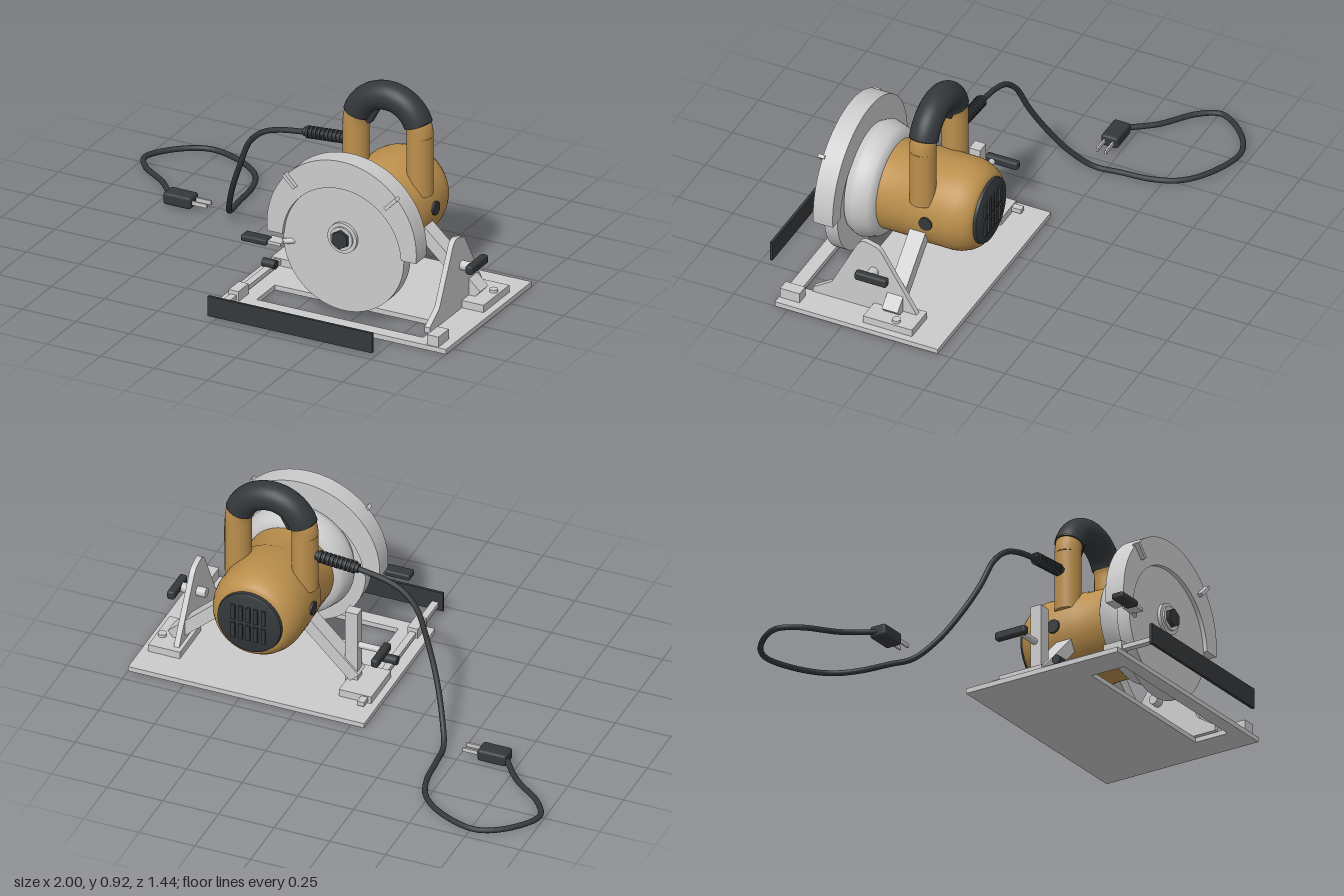
import * as THREE from 'three';
import { toCreasedNormals } from 'three/addons/utils/BufferGeometryUtils.js';
import { RoundedBoxGeometry } from 'three/addons/geometries/RoundedBoxGeometry.js';

const metal = new THREE.MeshStandardMaterial({ color: 0xcccccc });
const brown = new THREE.MeshStandardMaterial({ color: 0xbb8f4c });
const black = new THREE.MeshStandardMaterial({ color: 0x34383b });
const CX = 0.465, CY = 0.375; // motor axis

export function createModel() {
  const model = new THREE.Group();

  const add = (name, geo, mat, x = 0, y = 0, z = 0) => {
    const mesh = new THREE.Mesh(geo, mat);
    mesh.name = name;
    mesh.position.set(x, y, z);
    model.add(mesh);
    return mesh;
  };
  // Box given by its extents on each axis
  const box = (name, mat, [x0, x1], [y0, y1], [z0, z1], round = 0) => {
    const s = [x1 - x0, y1 - y0, z1 - z0];
    const geo = round ? new RoundedBoxGeometry(...s, 2, round) : new THREE.BoxGeometry(...s);
    return add(name, geo, mat, (x0 + x1) / 2, (y0 + y1) / 2, (z0 + z1) / 2);
  };
  // Cylinder between two points
  const rod = (name, mat, a, b, r, sides = 20) => {
    const p = new THREE.Vector3(...a), q = new THREE.Vector3(...b);
    const dir = q.clone().sub(p);
    const mesh = add(name, new THREE.CylinderGeometry(r, r, dir.length(), sides), mat);
    mesh.position.copy(p).lerp(q, 0.5);
    mesh.quaternion.setFromUnitVectors(new THREE.Vector3(0, 1, 0), dir.normalize());
    return mesh;
  };
  // Turned part on the motor axis, profile as [radius, z] from back to front
  const turned = (name, mat, profile) => {
    const geo = new THREE.LatheGeometry(profile.map(([r, z]) => new THREE.Vector2(r, z)), 64);
    geo.rotateX(Math.PI / 2);
    return add(name, toCreasedNormals(geo, 0.6), mat, CX, CY, 0);
  };
  const extrude = (shape, depth) => toCreasedNormals(
    new THREE.ExtrudeGeometry(shape, { depth, bevelEnabled: false, curveSegments: 40 }), 0.5);

  // Base plate with blade slot
  const plate = new THREE.Shape();
  plate.moveTo(-0.06, -0.56).lineTo(1, -0.56).lineTo(1, 0.19).lineTo(-0.06, 0.19).closePath();
  const slot = new THREE.Path();
  slot.moveTo(0.08, -0.5).lineTo(0.08, -0.34).lineTo(0.86, -0.34).lineTo(0.86, -0.5).closePath();
  plate.holes.push(slot);
  add('basePlate', extrude(plate, 0.022).rotateX(-Math.PI / 2), metal);

  // Motor
  turned('motorHousing', brown, [[0, -0.16], [0.15, -0.16], [0.165, -0.15], [0.182, -0.125],
    [0.195, -0.09], [0.2, -0.06], [0.2, 0.12], [0.195, 0.13], [0.195, 0.29], [0, 0.29]]);
  turned('gearHousing', metal, [[0, 0.26], [0.198, 0.262], [0.222, 0.272], [0.235, 0.285],
    [0.246, 0.32], [0.253, 0.348], [0.25, 0.36], [0.235, 0.39], [0, 0.39]]);
  turned('motorCap', black, [[0, -0.178], [0.13, -0.178], [0.142, -0.172], [0.148, -0.15], [0, -0.15]]);
  for (let i = -2; i <= 2; i++) for (const s of [-1, 1]) {
    const x = CX + i * 0.034, y = CY + s * 0.045;
    box('ventRib', black, [x - 0.009, x + 0.009], [y - 0.036, y + 0.036], [-0.186, -0.17]);
  }
  for (const s of [-1, 1])
    rod('brushCap', black, [CX + s * 0.18, CY, 0.03], [CX + s * 0.208, CY, 0.03], 0.03);

  // Upper guard, a thick crescent around the lower guard disc
  const crescent = new THREE.Shape();
  crescent.absarc(0, 0, 0.35, -0.1145, Math.PI + 0.1145, false);
  crescent.absarc(0, -0.053, 0.278, Math.PI - 0.047, 0.047, true);
  crescent.closePath();
  add('upperGuard', extrude(crescent, 0.09), metal, CX, CY, 0.385);
  rod('lowerGuard', metal, [CX, 0.322, 0.397], [CX, 0.322, 0.457], 0.282, 72);
  for (const s of [-1, 1]) {
    const rib = add('guardRib', new THREE.BoxGeometry(0.075, 0.016, 0.03), metal,
      CX + s * 0.238, CY + 0.215, 0.48);
    rib.rotation.z = s * 0.8;
  }

  // Blade bolt
  rod('boltFlange', metal, [CX, CY, 0.45], [CX, CY, 0.472], 0.068, 32);
  rod('boltWasher', metal, [CX, CY, 0.46], [CX, CY, 0.48], 0.052, 32);
  rod('hexBolt', black, [CX, CY, 0.47], [CX, CY, 0.497], 0.041, 6);

  // Arched handle with a grip sleeve
  const arc = (a0, a1) => {
    const pts = [];
    for (let i = 0; i <= 24; i++) {
      const a = a0 + (a1 - a0) * i / 24;
      pts.push(new THREE.Vector3(CX + 0.15 * Math.cos(a), 0.71 + 0.15 * Math.sin(a), 0.068));
    }
    return new THREE.CatmullRomCurve3(pts);
  };
  for (const s of [-1, 1]) {
    const x = CX + s * 0.15;
    rod('handleLeg', brown, [x, 0.45, 0.068], [x, 0.712, 0.068], 0.056, 32);
  }
  add('handleArch', new THREE.TubeGeometry(arc(0, Math.PI), 40, 0.056, 32), brown);
  const g0 = 0.35, g1 = Math.PI - 0.35;
  add('grip', new THREE.TubeGeometry(arc(g0, g1), 40, 0.062, 32), black);
  for (const a of [g0, g1]) {
    const end = add('gripEnd', new THREE.CylinderGeometry(0.062, 0.062, 0.004, 32), black,
      CX + 0.15 * Math.cos(a), 0.71 + 0.15 * Math.sin(a), 0.068);
    end.rotation.z = a;
  }
  const trigger = add('trigger', new RoundedBoxGeometry(0.03, 0.075, 0.04, 2, 0.008), black, 0.392, 0.757, 0.068);
  trigger.rotation.z = -0.5;

  // Cord strain relief with rings
  rod('cordSleeve', black, [0.07, 0.607, 0.062], [0.28, 0.622, 0.066], 0.02);
  for (let i = 0; i < 9; i++) {
    const x = 0.085 + i * 0.019, y = 0.608 + i * 0.0014;
    rod('sleeveRing', black, [x, y, 0.062], [x + 0.011, y + 0.001, 0.062], 0.027);
  }

  // Power cord
  const path = [[0.09, 0.607, 0.062], [-0.05, 0.585, 0.058], [-0.13, 0.555, 0.052], [-0.2, 0.49, 0.038],
    [-0.26, 0.36, 0.01], [-0.32, 0.23, -0.04], [-0.38, 0.1, -0.12], [-0.425, 0.022, -0.21],
    [-0.44, 0.018, -0.32], [-0.455, 0.018, -0.46], [-0.5, 0.018, -0.57], [-0.61, 0.018, -0.66],
    [-0.78, 0.018, -0.71], [-0.9, 0.018, -0.65], [-0.987, 0.018, -0.52], [-0.94, 0.02, -0.43],
    [-0.8, 0.025, -0.32], [-0.7, 0.033, -0.2]].map(p => new THREE.Vector3(...p));
  add('powerCord', new THREE.TubeGeometry(new THREE.CatmullRomCurve3(path), 160, 0.012, 12), black);

  // Plug
  box('plug', black, [-0.715, -0.585], [0.008, 0.062], [-0.237, -0.16], 0.012);
  for (const z of [-0.217, -0.178])
    box('plugPin', metal, [-0.59, -0.515], [0.027, 0.045], [z - 0.004, z + 0.004]);

  // Rip fence and its rod
  box('ripFence', black, [-0.035, 0.735], [0.01, 0.1], [0.702, 0.714]);
  box('fenceRod', metal, [-0.015, 0.015], [0.03, 0.05], [-0.088, 0.705]);
  box('rodClamp', metal, [-0.022, 0.024], [0.02, 0.068], [0.465, 0.555]);
  box('rodStop', metal, [0.908, 0.962], [0.02, 0.068], [0.465, 0.555]);
  rod('rodKnob', black, [-0.03, 0.06, 0.235], [0.03, 0.06, 0.235], 0.02);

  // Lower guard lever
  box('leverGrip', black, [0.02, 0.14], [0.29, 0.317], [0.475, 0.532], 0.008);
  box('leverArm', metal, [0.13, 0.2], [0.296, 0.31], [0.46, 0.515]);
  rod('leverLink', metal, [0.19, 0.303, 0.48], [0.24, 0.303, 0.44], 0.012);

  // Bracket feet and diagonal struts to the motor
  box('leftFoot', metal, [-0.03, 0.115], [0.02, 0.055], [-0.045, 0.165]);
  box('rightFoot', metal, [0.825, 0.967], [0.02, 0.055], [-0.055, 0.17]);
  const strut = (name, x0, y0, x1, y1) => {
    const m = add(name, new THREE.BoxGeometry(Math.hypot(x1 - x0, y1 - y0), 0.055, 0.073), metal,
      (x0 + x1) / 2, (y0 + y1) / 2, 0.072);
    m.rotation.z = Math.atan2(y1 - y0, x1 - x0);
  };
  strut('rightStrut', 0.63, 0.305, 0.9, 0.06);
  strut('leftStrut', 0.08, 0.07, 0.3, 0.29);
  rod('footBolt', metal, [0.94, 0.05, 0.03], [0.94, 0.068, 0.03], 0.018);

  // Left depth post and clamp
  box('depthPost', metal, [0.07, 0.127], [0.04, 0.385], [0.045, 0.095]);
  rod('leftClampRod', metal, [-0.04, 0.222, 0.065], [0.08, 0.222, 0.065], 0.014);
  box('leftClampHandle', black, [-0.06, -0.027], [0.207, 0.245], [-0.05, 0.1], 0.01);

  // Right tilt quadrant, a rounded triangular plate (drawn with z mirrored)
  const quad = new THREE.Shape();
  quad.moveTo(-0.45, 0.02).lineTo(-0.45, 0.045).lineTo(-0.365, 0.1);
  quad.lineTo(-0.25, 0.325).quadraticCurveTo(-0.23, 0.362, -0.2, 0.353);
  quad.lineTo(-0.16, 0.342).quadraticCurveTo(-0.145, 0.335, -0.13, 0.31);
  quad.lineTo(0.03, 0.05).lineTo(0.03, 0.02).closePath();
  add('tiltQuadrant', extrude(quad, 0.024).rotateY(Math.PI / 2), metal, 0.841, 0, 0);
  rod('rightClampRod', metal, [0.8, 0.217, 0.17], [0.92, 0.217, 0.17], 0.021);
  box('rightClampHandle', black, [0.908, 0.942], [0.205, 0.245], [0.078, 0.225], 0.01);

  return model;
}
